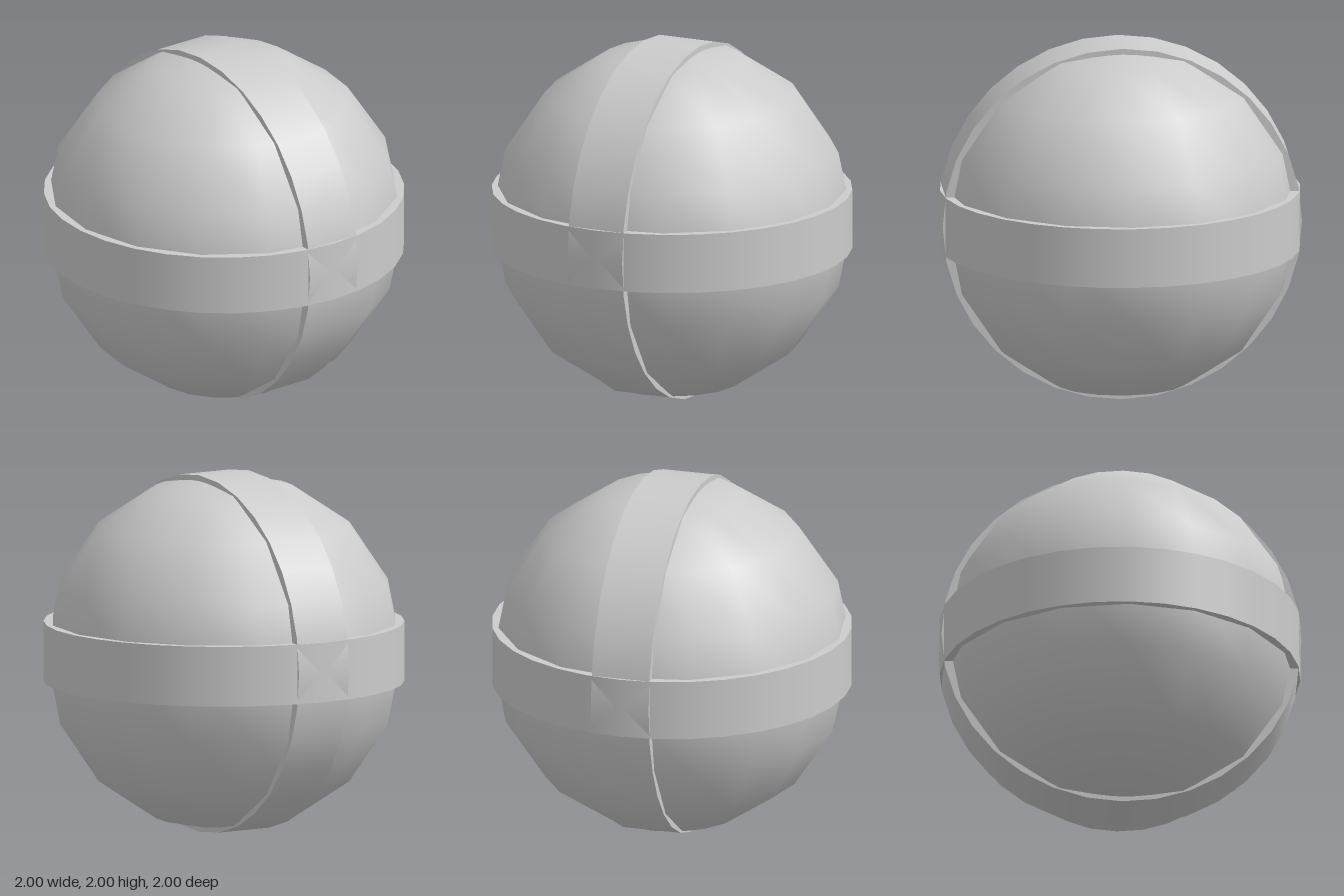
import * as THREE from 'three';

const material = new THREE.MeshStandardMaterial({ color: 0xcccccc });
const WIDTH = 0.334, INNER = 0.88, SIDES = 32;

// A flat raised strap around the y axis: outer wall plus two annular edges
function createBand(name, radius) {
  const band = new THREE.Group();
  band.name = name;
  const wall = new THREE.Mesh(
    new THREE.CylinderGeometry(radius, radius, WIDTH, SIDES, 1, true), material);
  wall.name = name + 'Wall';
  band.add(wall);
  for (const side of [1, -1]) {
    const edge = new THREE.Mesh(new THREE.RingGeometry(INNER, radius, SIDES), material);
    edge.name = name + 'Edge';
    edge.rotation.x = -side * Math.PI / 2;
    edge.position.y = side * WIDTH / 2;
    band.add(edge);
  }
  return band;
}

export function createModel() {
  const model = new THREE.Group();
  model.name = 'bandedBall';

  // Smooth-shaded low-poly ball
  const ball = new THREE.Mesh(new THREE.SphereGeometry(1, 16, 8), material);
  ball.name = 'ball';
  ball.position.y = 1;
  model.add(ball);

  // Strap around the equator
  const equator = createBand('equatorBand', 1);
  equator.position.y = 1.005;
  model.add(equator);

  // Strap over the top and bottom, crossing the equator at front and back
  const meridian = createBand('meridianBand', 0.998);
  meridian.rotation.z = Math.PI / 2;
  meridian.position.y = 1.002;
  model.add(meridian);

  return model;
}
